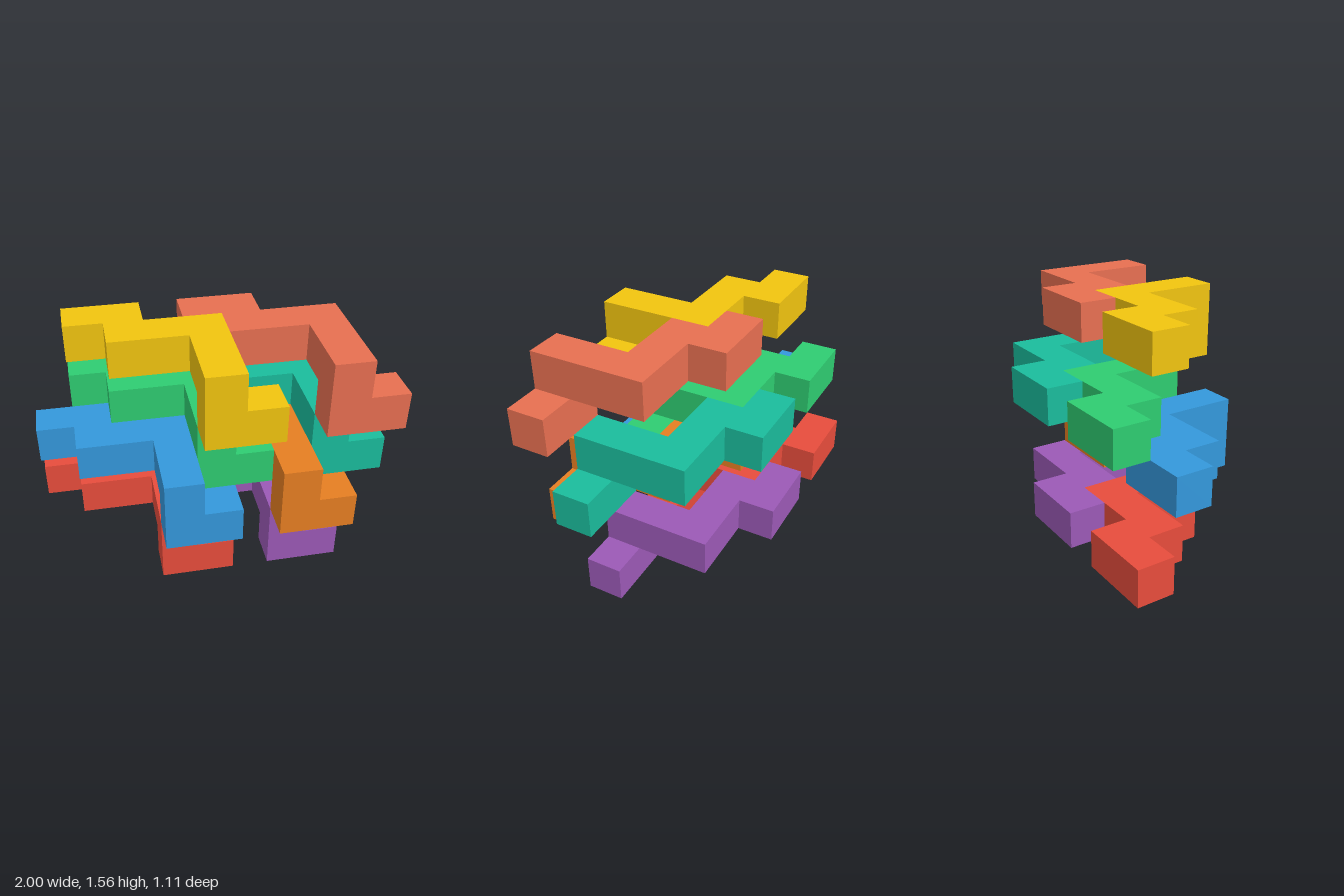
import * as THREE from 'three';

// Size of one grid cell: the model is 9 cells wide, 7 high, 5 deep
const U = 2 / 9;

// Zigzag outline of a piece seen from above, as [x, z] in cells
const OUTLINE = [[0, 0], [2, 0], [2, 1], [4, 1], [4, 4], [3, 4], [3, 2], [1, 2], [1, 1], [0, 1]];

// Each piece: name, colour, and cell of its back left top corner (x, top height, z)
const PIECES = [
  ['redPiece', 0xe74c3c, 0, 2, 0],
  ['purplePiece', 0x9b59b6, 3, 2, 0],
  ['bluePiece', 0x3498db, 0, 4, 1],
  ['orangePiece', 0xe67e22, 3, 4, 1],
  ['greenPiece', 0x2ecc71, 1, 5, 0],
  ['tealPiece', 0x1abc9c, 4, 5, 0],
  ['yellowPiece', 0xf1c40f, 1, 7, 1],
  ['coralPiece', 0xe76f51, 4, 7, 1],
];

export function createModel() {
  const model = new THREE.Group();
  model.name = 'interlockingBlocks';

  // Zigzag slab, one cell thick, hanging down from y = 0
  const shape = new THREE.Shape(OUTLINE.map(([x, z]) => new THREE.Vector2(x * U, z * U)));
  const slabGeometry = new THREE.ExtrudeGeometry(shape, { depth: U, bevelEnabled: false });
  slabGeometry.rotateX(Math.PI / 2);

  // Two-cell foot under the front end of the slab
  const footGeometry = new THREE.BoxGeometry(2 * U, U, U);
  footGeometry.translate(4 * U, -1.5 * U, 3.5 * U);

  for (const [name, color, x, top, z] of PIECES) {
    const material = new THREE.MeshStandardMaterial({ color });
    const piece = new THREE.Group();
    piece.name = name;
    const slab = new THREE.Mesh(slabGeometry, material);
    slab.name = 'zigzagSlab';
    const foot = new THREE.Mesh(footGeometry, material);
    foot.name = 'foot';
    piece.add(slab, foot);
    piece.position.set((x - 4.5) * U, top * U, (z - 2.5) * U);
    model.add(piece);
  }
  return model;
}
